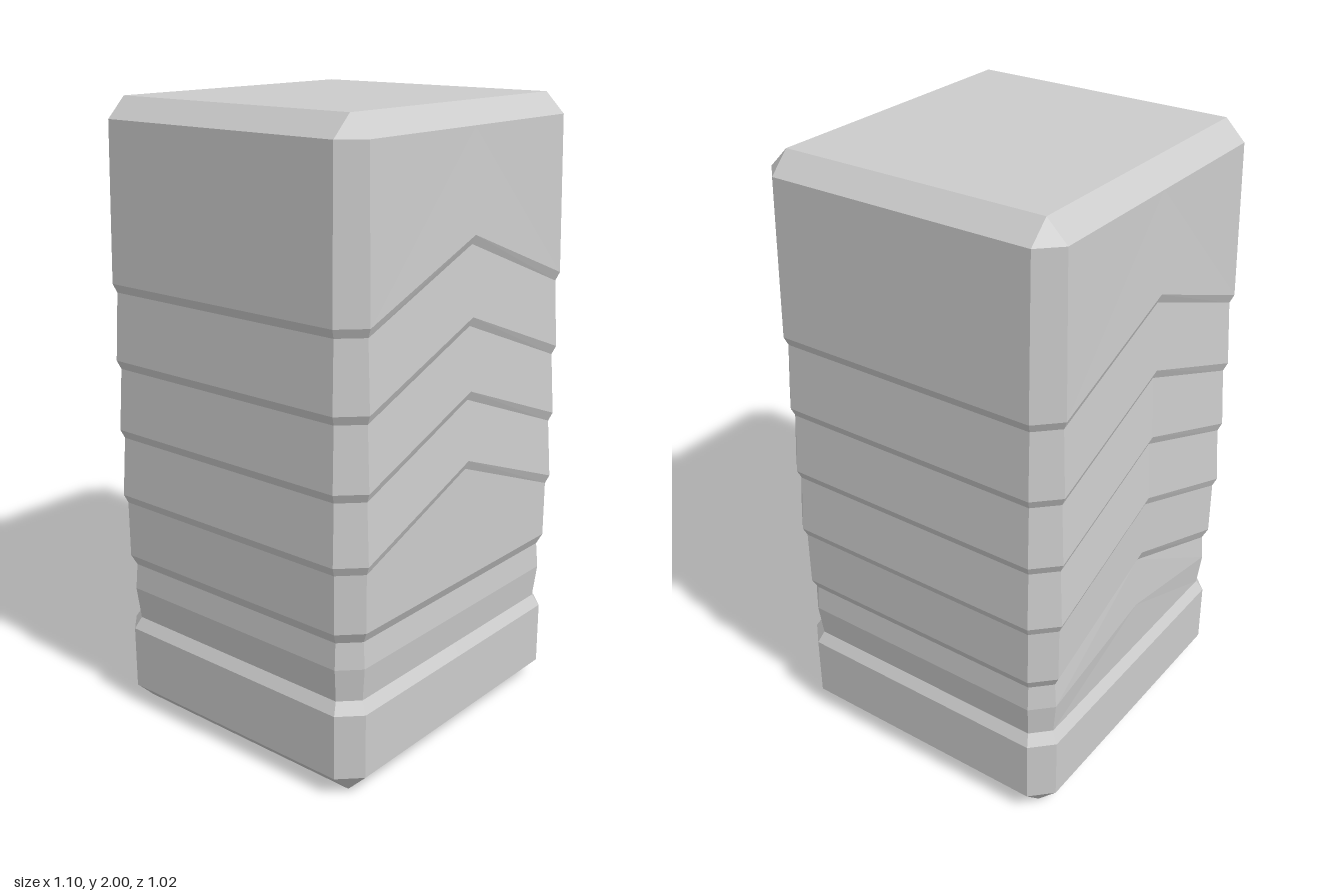
import * as THREE from 'three';

// Cross-sections from bottom to top:
// [height, half width, rise of the front middle, rise of the back middle, corner chamfer]
const SECTIONS = [
  [0, 0.475, 0, 0, 0],
  [0.065, 0.54, 0, 0, 0.066],
  [0.275, 0.54, 0, 0, 0.066],
  [0.312, 0.518, 0, 0, 0.056],
  [0.42, 0.53, 0, 0.09, 0.062],
  [0.505, 0.523, 0, 0.185, 0.058],
  [0.54, 0.54, 0, 0.185, 0.066],
];
// Chevron steps: a narrow underside lip, then a panel tapering inwards above it
for (const y of [0.725, 0.945, 1.172, 1.415]) {
  SECTIONS.push([y, 0.54, 0.185, 0.185, 0.066], [y + 0.028, 0.552, 0.185, 0.185, 0.072]);
}
SECTIONS.push([1.936, 0.54, 0, 0, 0.066], [2, 0.475, 0, 0, 0]);

// Chamfered rectangle with an extra point in the middle of front and back
function ring([y, hx, front, back, chamfer]) {
  const hz = hx - 0.04;
  const cx = hx - chamfer;
  const cz = hz - chamfer;
  return [
    [hx, y, cz], [hx, y, -cz],
    [cx, y, -hz], [0, y + back, -hz], [-cx, y, -hz],
    [-hx, y, -cz], [-hx, y, cz],
    [-cx, y, hz], [0, y + front, hz], [cx, y, hz],
  ].map((p) => new THREE.Vector3(...p));
}

function loft(rings) {
  const positions = [];
  const triangle = (a, b, c) => {
    if (new THREE.Triangle(a, b, c).getArea() < 1e-7) return;
    for (const p of [a, b, c]) positions.push(p.x, p.y, p.z);
  };
  const count = rings[0].length;
  const top = rings[rings.length - 1];
  const topCentre = new THREE.Vector3(0, top[0].y, 0);
  const bottomCentre = new THREE.Vector3(0, rings[0][0].y, 0);
  for (let j = 0; j < count; j++) {
    const k = (j + 1) % count;
    // Walls
    for (let i = 0; i < rings.length - 1; i++) {
      const low = rings[i];
      const high = rings[i + 1];
      // Mirror the diagonals about the middle of front and back
      if (j === 3 || j === 8) {
        triangle(low[j], low[k], high[j]);
        triangle(low[k], high[k], high[j]);
      } else {
        triangle(low[j], low[k], high[k]);
        triangle(low[j], high[k], high[j]);
      }
    }
    // Caps
    triangle(topCentre, top[j], top[k]);
    triangle(bottomCentre, rings[0][k], rings[0][j]);
  }
  const geometry = new THREE.BufferGeometry();
  geometry.setAttribute('position', new THREE.Float32BufferAttribute(positions, 3));
  geometry.computeVertexNormals();
  return geometry;
}

export function createModel() {
  const group = new THREE.Group();
  group.name = 'chevronGrip';
  const material = new THREE.MeshStandardMaterial({ color: 0xcccccc, flatShading: true });
  const body = new THREE.Mesh(loft(SECTIONS.map(ring)), material);
  body.name = 'gripBody';
  group.add(body);
  return group;
}
